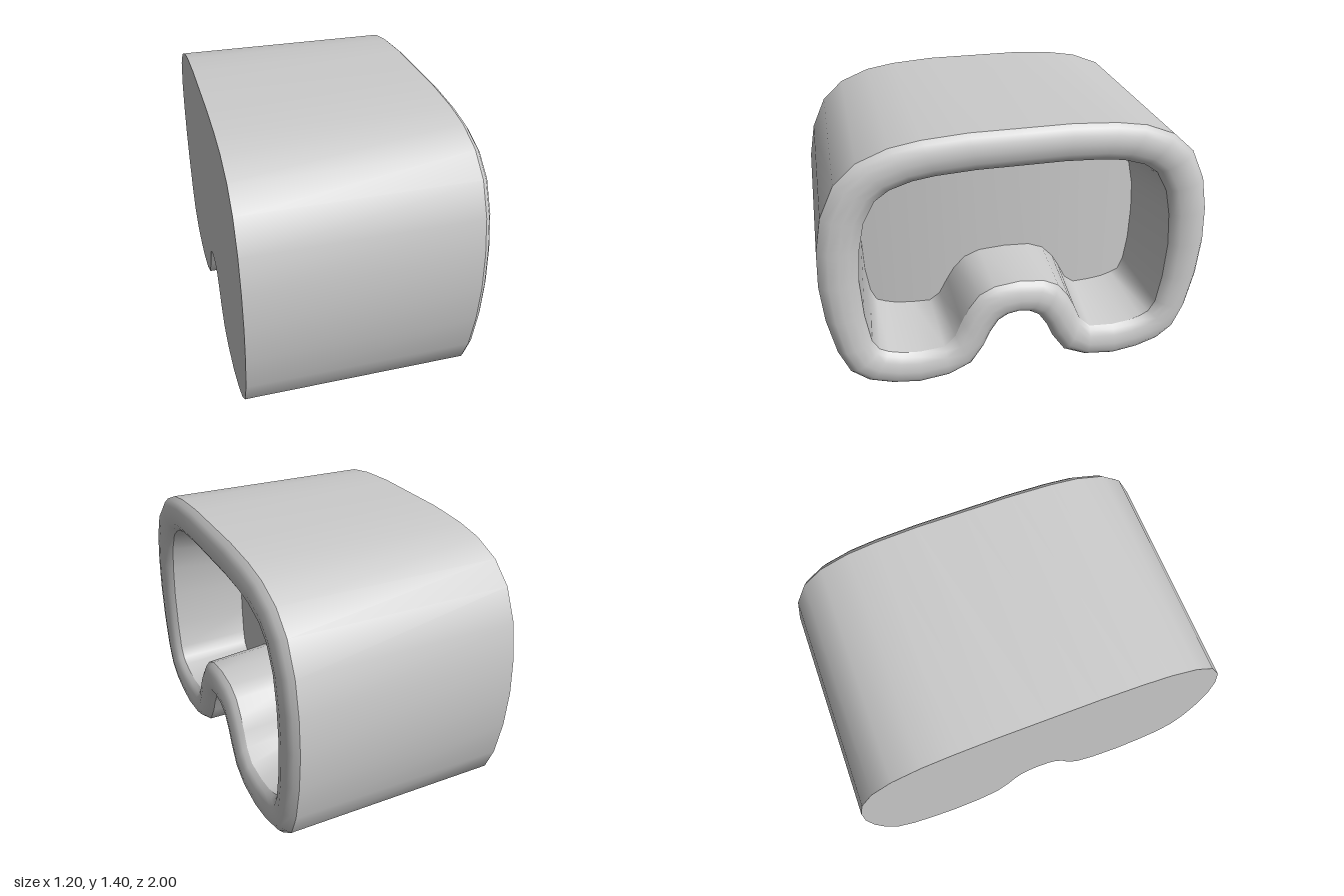
import * as THREE from 'three';

// Half outlines as [z, y], from top centre round the +z side to bottom centre
const OUTER = [[0, 1.4], [.25, 1.4], [.47, 1.385], [.62, 1.36], [.77, 1.3], [.88, 1.2], [.955, 1.04], [.99, .86],
  [1, .67], [.985, .47], [.945, .27], [.89, .135], [.8, .06], [.68, .02], [.54, 0], [.38, .02], [.26, .075],
  [.19, .18], [.155, .26], [.11, .33], [.06, .36], [0, .37]];
const OPENING = [[0, 1.21], [.22, 1.21], [.41, 1.2], [.52, 1.185], [.63, 1.15], [.7, 1.1], [.76, .99], [.79, .85],
  [.805, .67], [.795, .47], [.77, .31], [.735, .25], [.69, .225], [.62, .205], [.53, .195], [.4, .205], [.34, .265],
  [.305, .35], [.27, .42], [.21, .5], [.13, .54], [0, .555]];
const FLOOR = [[0, 1.16], [.22, 1.16], [.4, 1.15], [.5, 1.14], [.61, 1.105], [.67, 1.06], [.725, .96], [.755, .83],
  [.765, .67], [.76, .48], [.74, .34], [.71, .275], [.66, .26], [.6, .25], [.52, .25], [.42, .255], [.365, .3],
  [.32, .39], [.28, .46], [.22, .525], [.14, .56], [0, .57]];
const WIDEST = 8; // index of the outermost point of each half outline

const material = new THREE.MeshStandardMaterial({ color: 0xcccccc });
const floorX = (z) => 0.21 - 0.14 * z * z; // gently domed floor

function makeMesh(name, positions, index) {
  const geometry = new THREE.BufferGeometry();
  geometry.setAttribute('position', new THREE.Float32BufferAttribute(positions, 3));
  geometry.setIndex(index);
  geometry.computeVertexNormals();
  const mesh = new THREE.Mesh(geometry, material);
  mesh.name = name;
  return mesh;
}

// Mirrored closed ring of [x, y, z]; x comes from a function of z
function ring(half, x) {
  const mirrored = half.slice(1, -1).reverse().map(([z, y]) => [-z, y]);
  return [...half, ...mirrored].map(([z, y]) => [x(z), y, z]);
}

// Skin between successive rings
function loft(name, rings) {
  const n = rings[0].length, index = [];
  for (let r = 0; r < rings.length - 1; r++) {
    for (let i = 0; i < n; i++) {
      const a = r * n + i, b = r * n + (i + 1) % n;
      index.push(a, b, a + n, b, b + n, a + n);
    }
  }
  return makeMesh(name, rings.flat(2), index);
}

// Height of a chain (sorted by z) at a given z
function heightAt(chain, z) {
  let i = 1;
  while (i < chain.length - 1 && chain[i][0] < z) i++;
  const [z0, y0] = chain[i - 1], [z1, y1] = chain[i];
  return y0 + (y1 - y0) * (z - z0) / (z1 - z0);
}

// Closing surface made of vertical strips between the upper and lower outline
function cap(name, half, x, facesBack) {
  const upper = half.slice(0, WIDEST + 1), lower = half.slice(WIDEST).reverse();
  const side = [...new Set(half.map((p) => p[0]))].sort((a, b) => a - b);
  const columns = [...side.slice(1).reverse().map((z) => -z), ...side];
  const positions = [], index = [];
  columns.forEach((z, i) => {
    const top = heightAt(upper, Math.abs(z)), bottom = heightAt(lower, Math.abs(z));
    positions.push(x(z), top, z, x(z), bottom, z);
    if (i === 0) return;
    const a = 2 * i - 2, b = a + 1, c = a + 2, d = a + 3;
    if (facesBack) index.push(a, b, c, c, b, d);
    else index.push(a, c, b, c, d, b);
  });
  return makeMesh(name, positions, index);
}

export function createModel() {
  const group = new THREE.Group();
  group.name = 'gogglesShapedHousing';

  // Outer shell with a flat closed end
  group.add(loft('outerShell', [ring(OUTER, () => -0.6), ring(OUTER, () => 0.55)]));
  group.add(cap('closedEnd', OUTER, () => -0.6, true));

  // Rounded rim running round the opening
  const rimProfile = [[0, .55], [.1, .573], [.25, .593], [.5, .6], [.75, .59], [.9, .572], [1, .55]];
  group.add(loft('rim', rimProfile.map(([t, x]) => ring(
    OUTER.map(([z, y], i) => [z + (OPENING[i][0] - z) * t, y + (OPENING[i][1] - y) * t]), () => x))));

  // Tapering cavity and its floor
  group.add(loft('cavityWall', [ring(OPENING, () => 0.55), ring(FLOOR, floorX)]));
  group.add(cap('cavityFloor', FLOOR, floorX, false));

  return group;
}
